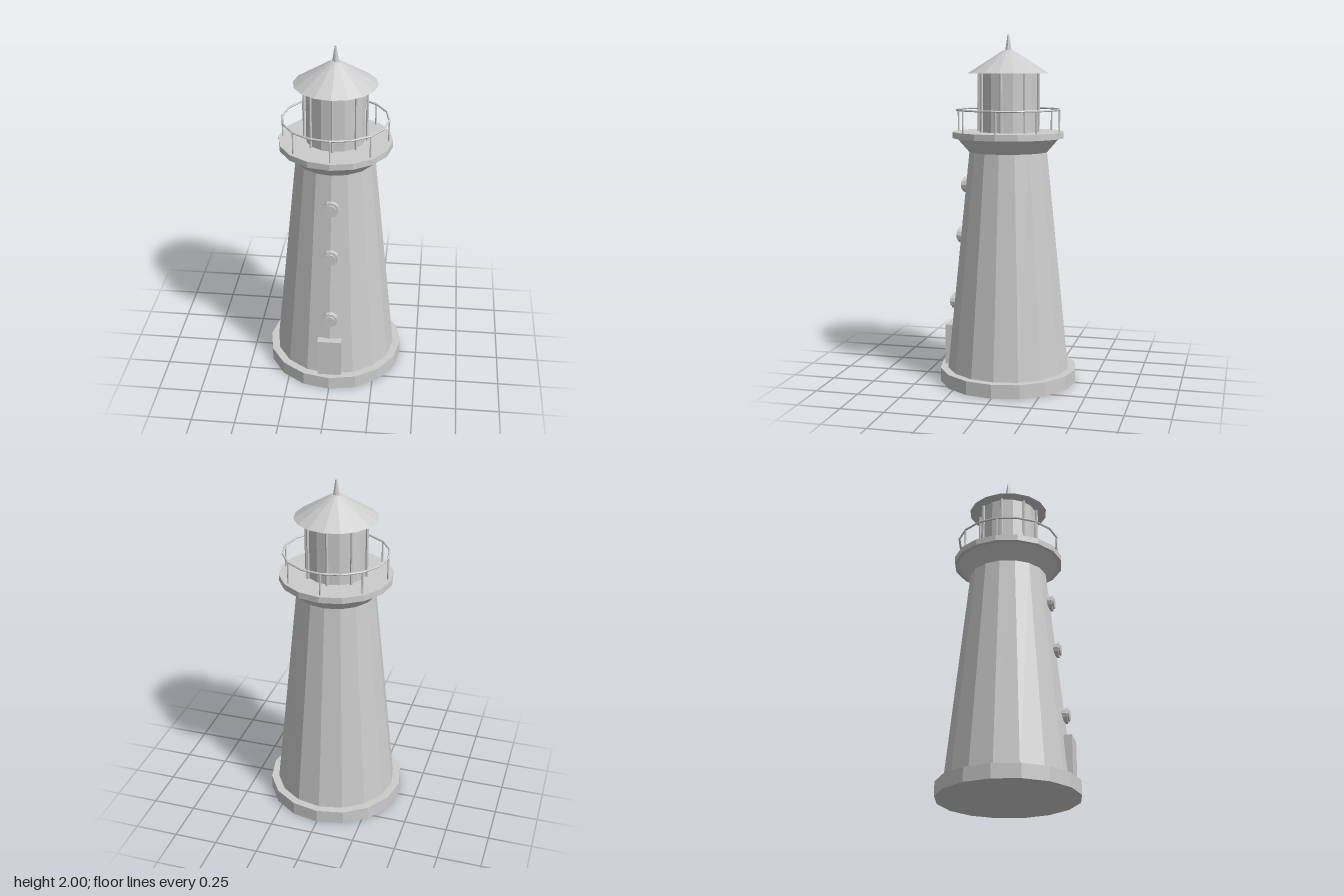
import * as THREE from 'three';

const SIDES = 16;

export function createModel() {
  const model = new THREE.Group();
  model.name = 'lighthouse';
  const stone = new THREE.MeshStandardMaterial({ color: 0xcccccc, flatShading: true });
  stone.name = 'pale grey';

  const add = (name, geometry, x = 0, y = 0, z = 0) => {
    const mesh = new THREE.Mesh(geometry, stone);
    mesh.name = name;
    mesh.position.set(x, y, z);
    model.add(mesh);
    return mesh;
  };
  // Upright drum or cone between two heights
  const drum = (name, r0, r1, y0, y1, sides = SIDES, x = 0, z = 0) =>
    add(name, new THREE.CylinderGeometry(r1, r0, y1 - y0, sides), x, (y0 + y1) / 2, z);

  // Tower body
  drum('base', 0.4, 0.4, 0, 0.08);
  drum('tower', 0.355, 0.225, 0.08, 1.34);
  drum('corbel', 0.225, 0.295, 1.34, 1.42);
  drum('galleryDeck', 0.32, 0.32, 1.42, 1.455);

  // Lantern room, roof and spire
  drum('lantern', 0.165, 0.165, 1.455, 1.785);
  drum('roof', 0.233, 0.027, 1.785, 1.915);
  drum('spire', 0.018, 0.005, 1.915, 2.0, 8);

  // Lantern mullions and railing posts, eight of each
  for (let i = 0; i < 8; i++) {
    const a = (i * Math.PI) / 4;
    const s = Math.sin(a), c = Math.cos(a);
    drum('lanternMullion', 0.008, 0.008, 1.455, 1.785, 6, 0.175 * s, 0.175 * c);
    drum('railingPost', 0.005, 0.005, 1.455, 1.58, 6, 0.296 * s, 0.296 * c);
  }
  const rail = add('handrail', new THREE.TorusGeometry(0.296, 0.006, 6, SIDES), 0, 1.58, 0);
  rail.rotation.x = Math.PI / 2;

  // Round windows: a wide frame with a narrower pane standing proud of it
  for (const y of [0.45, 0.847, 1.145]) {
    const wall = 0.355 - ((y - 0.08) * 0.13) / 1.26;
    const frame = add('windowFrame', new THREE.CylinderGeometry(0.045, 0.045, 0.035, 12), 0, y, wall + 0.002);
    const pane = add('windowPane', new THREE.CylinderGeometry(0.032, 0.032, 0.04, 12), 0, y, wall + 0.01);
    frame.rotation.x = pane.rotation.x = Math.PI / 2;
  }

  // Door
  add('door', new THREE.BoxGeometry(0.138, 0.237, 0.045), 0, 0.1985, 0.3435);

  return model;
}
